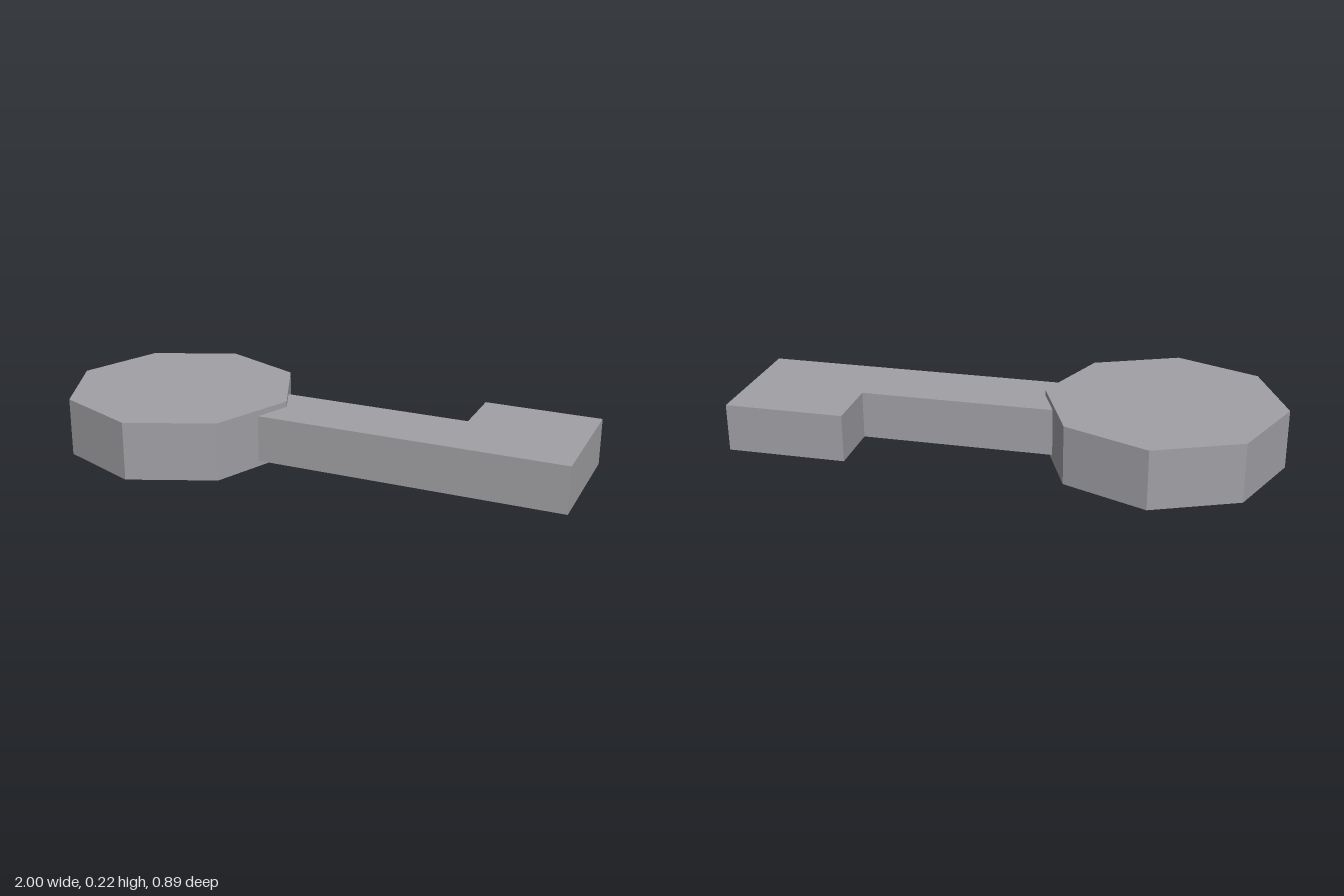
import * as THREE from 'three';

export function createModel() {
  const key = new THREE.Group();
  key.name = 'key';
  const metal = new THREE.MeshStandardMaterial({ color: 0xa0a0a5 });
  metal.name = 'greyMetal';
  metal.flatShading = true;

  // Octagonal head with corners on the axes
  const radius = 0.444, height = 0.222;
  const head = new THREE.Mesh(new THREE.CylinderGeometry(radius, radius, height, 8), metal);
  head.name = 'head';
  head.position.set(-0.556, height / 2, 0);
  key.add(head);

  // Shaft and bit as one L-shaped bar; shape y becomes -z
  const outline = [
    [-0.3, -0.133], [1, -0.133], [1, 0.356],
    [0.556, 0.356], [0.556, 0.133], [-0.3, 0.133],
  ].map(([x, y]) => new THREE.Vector2(x, y));
  const barGeometry = new THREE.ExtrudeGeometry(new THREE.Shape(outline), {
    depth: 0.178, bevelEnabled: false,
  });
  barGeometry.rotateX(-Math.PI / 2);
  const bar = new THREE.Mesh(barGeometry, metal);
  bar.name = 'shaftAndBit';
  bar.position.y = 0.022;
  key.add(bar);

  return key;
}
